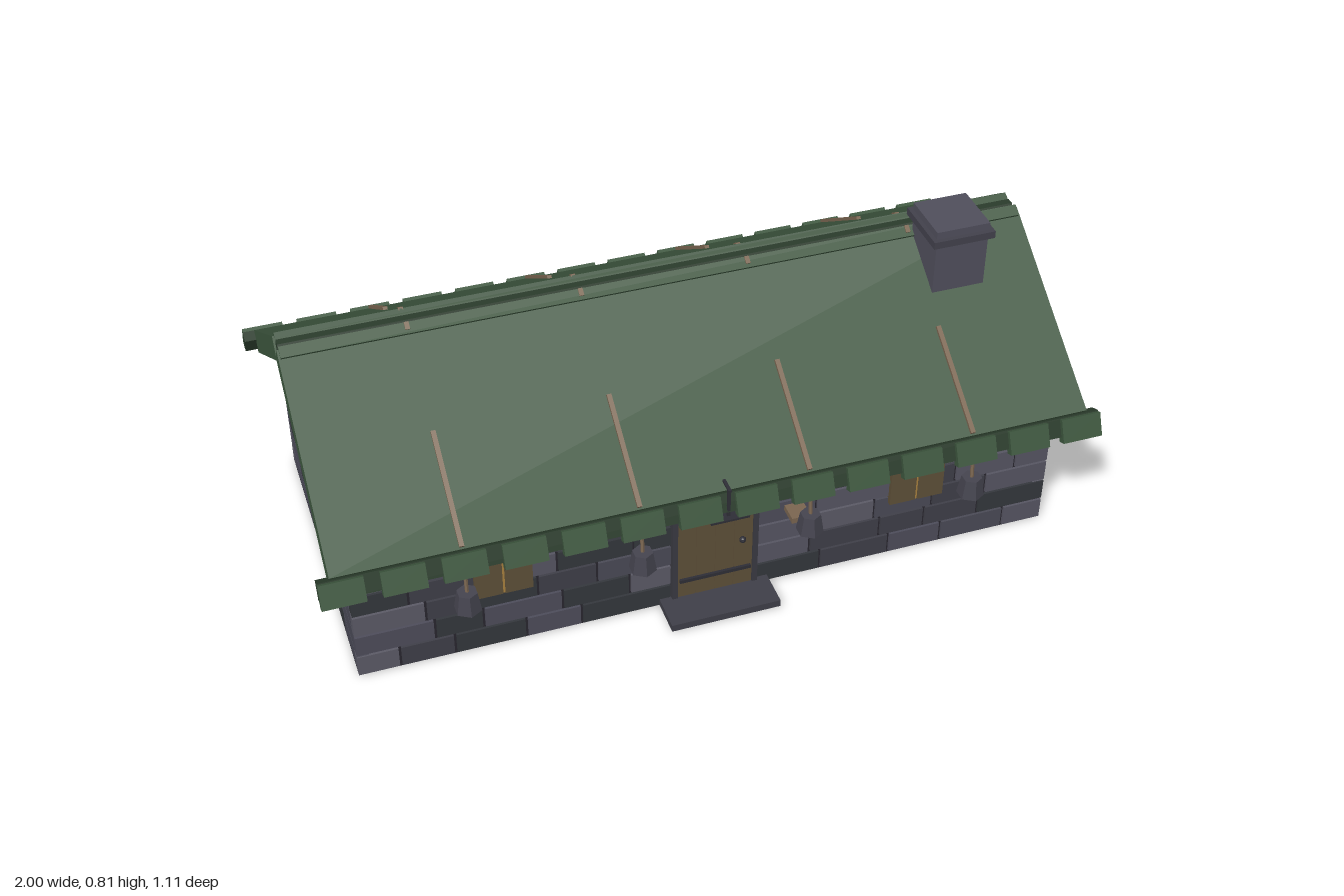
import * as THREE from 'three';

const materials = {};
function mat(color) {
  return (materials[color] ??= new THREE.MeshStandardMaterial({ color, flatShading: true }));
}
const STONES = [0x4a4a56, 0x3f3f48, 0x565562, 0x34373c, 0x4d4c5a, 0x5b5a66];
const GREEN = 0x3d563e, DARK_GREEN = 0x2a3b2b, WOOD = 0x5e5038, ROPE = 0x7a6550, IRON = 0x2e2e36;
const PITCH = 0.592, RIDGE_Y = 0.748;
const ROPES = [-0.655, -0.218, 0.218, 0.655];

function add(parent, name, geometry, color, x, y, z) {
  const mesh = new THREE.Mesh(geometry, mat(color));
  mesh.name = name;
  mesh.position.set(x, y, z);
  parent.add(mesh);
  return mesh;
}
function box(parent, name, color, w, h, d, x, y, z) {
  return add(parent, name, new THREE.BoxGeometry(w, h, d), color, x, y, z);
}

let seed = 7;
function random() {
  seed = (seed * 16807) % 2147483647;
  return seed / 2147483647;
}

// One course of stones between two points along the local x axis
function course(parent, from, to, y, z) {
  let x = from;
  while (x < to - 0.001) {
    let w = 0.11 + random() * 0.1;
    if (to - x - w < 0.07) w = to - x;
    const color = STONES[Math.floor(random() * STONES.length)];
    box(parent, 'wallStone', color, w - 0.007, 0.059, 0.03, x + w / 2, y, z);
    x += w;
  }
}

// A wall of six courses, with an optional doorway in the middle
function wall(name, half, distance, turn, doorHalf = 0) {
  const group = new THREE.Group();
  group.name = name;
  for (let row = 0; row < 6; row++) {
    const y = 0.0345 + row * 0.0655, z = distance - 0.015;
    if (doorHalf) {
      course(group, -half, -doorHalf, y, z);
      course(group, doorHalf, half, y, z);
    } else course(group, -half, half, y, z);
  }
  group.rotation.y = turn;
  return group;
}

// One roof slope with its eave blocks, ropes and hanging weights
function roofSide(name) {
  const side = new THREE.Group();
  side.name = name;
  const slope = new THREE.Group();
  slope.name = 'slope';
  slope.position.y = RIDGE_Y;
  slope.rotation.x = PITCH;
  side.add(slope);
  box(slope, 'roofPanel', GREEN, 1.94, 0.06, 0.57, 0, -0.03, 0.32);
  box(slope, 'ridgeBoard', GREEN, 1.93, 0.014, 0.03, 0, 0.001, 0.045);

  // Eave beam and overhanging blocks
  const beam = box(side, 'eaveBeam', DARK_GREEN, 2, 0.05, 0.03, 0, 0.378, 0.503);
  beam.rotation.x = -0.42;
  for (let i = 0; i < 14; i++) {
    const block = box(side, 'eaveBlock', GREEN, 0.107, 0.062, 0.024, -0.9465 + i * 0.1456, 0.376, 0.52);
    block.rotation.x = -0.42;
  }

  for (const x of ROPES) {
    box(slope, 'roofRope', ROPE, 0.012, 0.01, 0.29, x, 0.003, 0.455);
    box(slope, 'ridgeRope', ROPE, 0.012, 0.012, 0.02, x, 0.005, 0.04);
    const cord = add(side, 'hangingRope', new THREE.CylinderGeometry(0.005, 0.005, 0.07, 6), ROPE, x, 0.322, 0.516);
    cord.rotation.x = -0.1;
    add(side, 'stoneWeight', new THREE.CylinderGeometry(0.026, 0.035, 0.054, 6), 0x45444f, x, 0.263, 0.52);
  }
  return side;
}

export function createModel() {
  const model = new THREE.Group();

  // Walls around a dark mortar core
  box(model, 'wallCore', 0x28262e, 1.836, 0.39, 0.846, 0, 0.197, 0);
  box(model, 'floor', 0x28262e, 1.84, 0.006, 0.85, 0, 0.003, 0);
  model.add(
    wall('frontWall', 0.924, 0.43, 0, 0.112),
    wall('backWall', 0.924, 0.43, Math.PI),
    wall('leftWall', 0.43, 0.92, Math.PI / 2),
    wall('rightWall', 0.43, 0.92, -Math.PI / 2)
  );

  // Stepped gables
  [0x35363c, 0x4a4954, 0x5b5a66, 0x35363c].forEach((color, i) => {
    for (const s of [-1, 1])
      box(model, 'gableStep', color, 0.06, 0.07, 0.74 - i * 0.2, s * 0.885, 0.435 + i * 0.07, 0);
  });

  // Roof
  const front = roofSide('frontRoof');
  const back = roofSide('backRoof');
  back.rotation.y = Math.PI;
  model.add(front, back);
  const ridge = add(model, 'ridgeBeam', new THREE.CylinderGeometry(0.02, 0.02, 1.93, 6), DARK_GREEN, 0, 0.713, 0);
  ridge.rotation.z = Math.PI / 2;

  // Chimney
  box(model, 'chimneyStack', 0x504f5c, 0.142, 0.25, 0.143, 0.74, 0.665, 0.11);
  box(model, 'chimneyRim', 0x42414c, 0.167, 0.02, 0.17, 0.74, 0.78, 0.11);
  box(model, 'chimneyCap', 0x504f5c, 0.145, 0.02, 0.145, 0.74, 0.8, 0.11);

  // Door, frame, hinges and step
  const door = new THREE.Group();
  door.name = 'door';
  model.add(door);
  for (let i = 0; i < 4; i++)
    box(door, 'doorPlank', WOOD, 0.049, 0.33, 0.02, -0.075 + i * 0.05, 0.18, 0.427);
  for (const s of [-1, 1])
    box(door, 'doorPost', 0x3a3a42, 0.014, 0.34, 0.03, s * 0.107, 0.18, 0.426);
  for (const y of [0.08, 0.28]) box(door, 'doorStrap', IRON, 0.19, 0.01, 0.008, 0, y, 0.44);
  add(door, 'doorKnob', new THREE.SphereGeometry(0.009, 8, 6), IRON, 0.07, 0.18, 0.445);
  box(door, 'doorLintel', WOOD, 0.24, 0.045, 0.04, 0, 0.367, 0.45);
  box(model, 'doorStep', 0x3f3f48, 0.29, 0.02, 0.12, 0, 0.014, 0.47);

  // Shuttered windows
  for (const x of [-0.547, 0.545]) {
    for (const s of [-1, 1])
      box(model, 'shutter', WOOD, 0.07, 0.135, 0.02, x + s * 0.038, 0.247, 0.432);
    box(model, 'windowGlow', 0xa9813f, 0.008, 0.135, 0.014, x, 0.247, 0.432);
  }

  // Small wall shelf beside the door
  box(model, 'shelf', ROPE, 0.05, 0.016, 0.055, 0.21, 0.242, 0.457);
  box(model, 'shelfBracket', WOOD, 0.012, 0.012, 0.03, 0.21, 0.278, 0.445);

  // Thin iron hook above the door
  box(model, 'hookArm', IRON, 0.008, 0.006, 0.045, 0, 0.43, 0.508);
  box(model, 'hookStem', IRON, 0.008, 0.085, 0.006, 0, 0.388, 0.523);
  box(model, 'hookFoot', IRON, 0.1, 0.006, 0.03, 0, 0.345, 0.525);

  return model;
}
